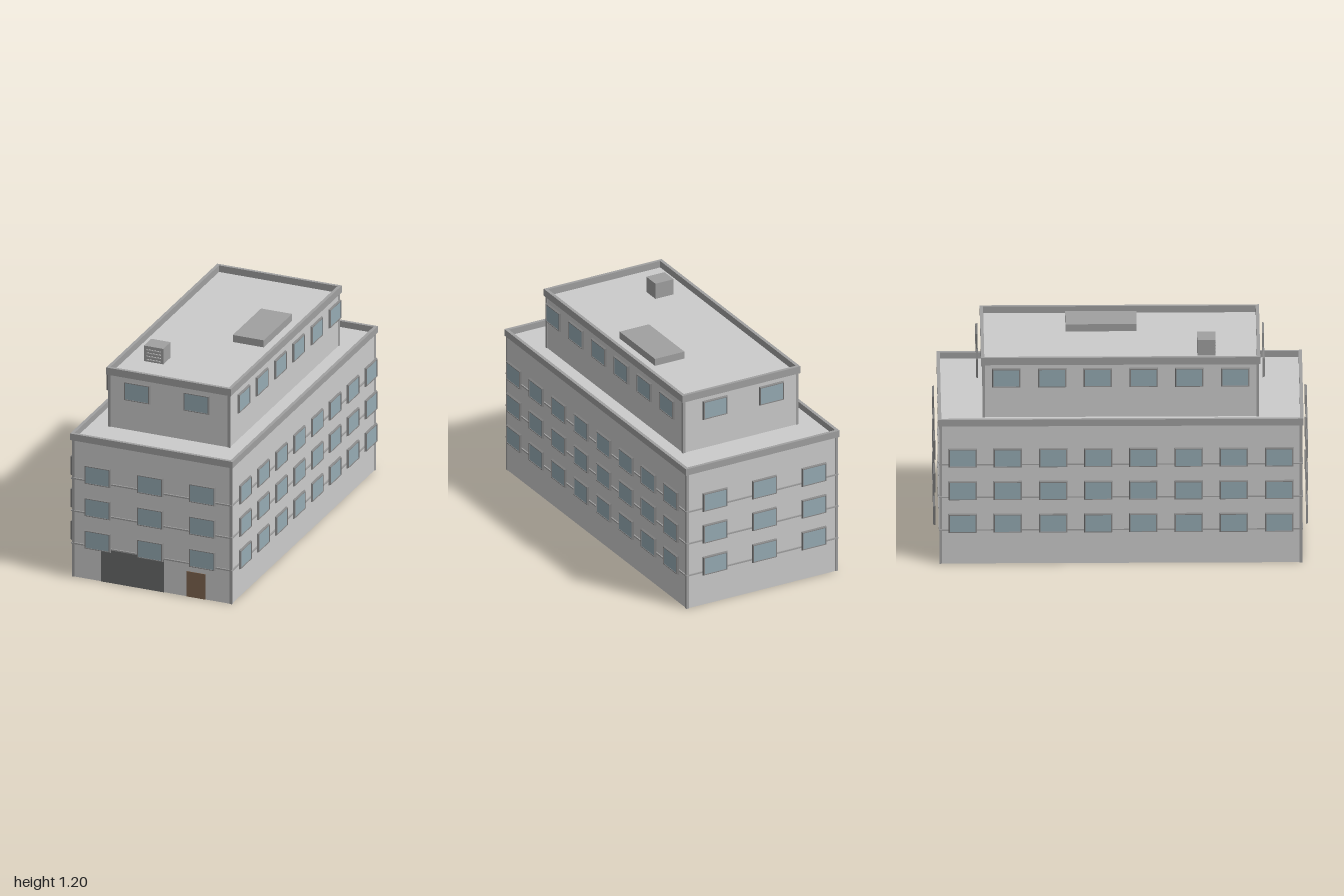
import * as THREE from 'three';

const mat = (color) => new THREE.MeshStandardMaterial({ color });
const wallMat = mat(0xcccccc), trimMat = mat(0xa0a0a0), frameMat = mat(0x858585);
const glassMat = mat(0x96abb4), gateMat = mat(0x6a6c6c), doorMat = mat(0x806650);

const WIN_W = 0.152, WIN_H = 0.111, WIN_D = 0.011;

// Box given by its lower and upper corners
function box(parent, name, material, [x0, y0, z0], [x1, y1, z1]) {
  const mesh = new THREE.Mesh(new THREE.BoxGeometry(x1 - x0, y1 - y0, z1 - z0), material);
  mesh.position.set((x0 + x1) / 2, (y0 + y1) / 2, (z0 + z1) / 2);
  mesh.name = name;
  parent.add(mesh);
  return mesh;
}

function rectangle(target, hw, hh) {
  target.moveTo(-hw, -hh);
  target.lineTo(hw, -hh);
  target.lineTo(hw, hh);
  target.lineTo(-hw, hh);
  target.closePath();
  return target;
}

// Rectangular ring lying flat, from y0 to y1
function ring(parent, name, hx, hz, thickness, y0, y1) {
  const shape = rectangle(new THREE.Shape(), hx, hz);
  shape.holes.push(rectangle(new THREE.Path(), hx - thickness, hz - thickness));
  const geo = new THREE.ExtrudeGeometry(shape, { depth: y1 - y0, bevelEnabled: false });
  const mesh = new THREE.Mesh(geo.rotateX(-Math.PI / 2), trimMat);
  mesh.position.y = y0;
  mesh.name = name;
  parent.add(mesh);
}

// Window frame, its outer edge chamfered towards the outside
function frameGeometry() {
  const shape = rectangle(new THREE.Shape(), WIN_W / 2, WIN_H / 2);
  shape.holes.push(rectangle(new THREE.Path(), WIN_W / 2 - 0.008, WIN_H / 2 - 0.008));
  const geo = new THREE.ExtrudeGeometry(shape, { depth: WIN_D, bevelEnabled: false });
  const p = geo.attributes.position;
  for (let i = 0; i < p.count; i++) {
    const outer = Math.abs(p.getX(i)) > WIN_W / 2 - 0.004;
    if (outer && p.getZ(i) > WIN_D / 2) {
      p.setX(i, p.getX(i) - Math.sign(p.getX(i)) * 0.004);
      p.setY(i, p.getY(i) - Math.sign(p.getY(i)) * 0.004);
    }
  }
  geo.computeVertexNormals();
  return geo;
}
const frameGeo = frameGeometry();
const glassGeo = new THREE.BoxGeometry(WIN_W - 0.014, WIN_H - 0.014, 0.005);

function addWindow(parent, x, y, z, turn) {
  const win = new THREE.Group();
  win.name = 'window';
  const frame = new THREE.Mesh(frameGeo, frameMat);
  frame.name = 'windowFrame';
  const glass = new THREE.Mesh(glassGeo, glassMat);
  glass.name = 'windowGlass';
  glass.position.z = 0.005;
  win.add(frame, glass);
  win.position.set(x, y, z);
  win.rotation.y = turn;
  parent.add(win);
}

// One row of windows around all four sides; hx and hz are the planes of their backs
function windowRow(parent, y, hx, hz, endXs, sideCount, sideStep) {
  for (const x of endXs) {
    addWindow(parent, x, y, hz, 0);
    addWindow(parent, x, y, -hz, Math.PI);
  }
  for (let i = 0; i < sideCount; i++) {
    const z = (i - (sideCount - 1) / 2) * sideStep;
    addWindow(parent, hx, y, z, Math.PI / 2);
    addWindow(parent, -hx, y, z, -Math.PI / 2);
  }
}

// Storey block with walls, corner posts and parapet
function block(name, hx, hz, y0, y1, top) {
  const group = new THREE.Group();
  group.name = name;
  box(group, 'walls', wallMat, [-hx, y0, -hz], [hx, y1, hz]);
  for (const sx of [-1, 1]) for (const sz of [-1, 1]) {
    const post = box(group, 'cornerPost', trimMat, [0, y0, 0], [0.014, y1, 0.014]);
    post.position.x = sx * (hx - 0.003);
    post.position.z = sz * (hz - 0.003);
  }
  ring(group, 'parapet', hx + 0.011, hz + 0.011, 0.018, y1 - 0.003, top);
  return group;
}

export function createModel() {
  const model = new THREE.Group();
  model.name = 'building';

  // Main block with three rows of windows above string courses
  const lower = block('mainBlock', 0.461, 0.964, 0, 0.8, 0.835);
  for (const y of [0.243, 0.432, 0.621]) {
    windowRow(lower, y, 0.485, 0.989, [-0.305, 0, 0.303], 8, 0.241);
    ring(lower, 'stringCourse', 0.468, 0.971, 0.01, y - 0.051, y - 0.043);
  }

  // Entrances
  box(lower, 'garageGate', gateMat, [-0.295, 0, 0.95], [0.07, 0.195, 0.967]);
  box(lower, 'entranceDoor', doorMat, [0.2, 0, 0.95], [0.31, 0.147, 0.967]);

  // Set-back top storey
  const upper = block('topStorey', 0.351, 0.734, 0.8, 1.108, 1.146);
  windowRow(upper, 1.038, 0.376, 0.759, [-0.175, 0.171], 6, 0.244);

  // Rooftop equipment
  box(upper, 'roofHatch', trimMat, [0.09, 1.107, -0.29], [0.27, 1.149, 0.09]);
  box(upper, 'ventUnit', trimMat, [-0.245, 1.107, 0.41], [-0.133, 1.198, 0.508]);
  for (let i = 0; i < 4; i++) {
    const y = 1.118 + i * 0.019;
    box(upper, 'ventSlat', wallMat, [-0.23, y, 0.5], [-0.147, y + 0.005, 0.511]);
  }

  model.add(lower, upper);
  return model;
}
